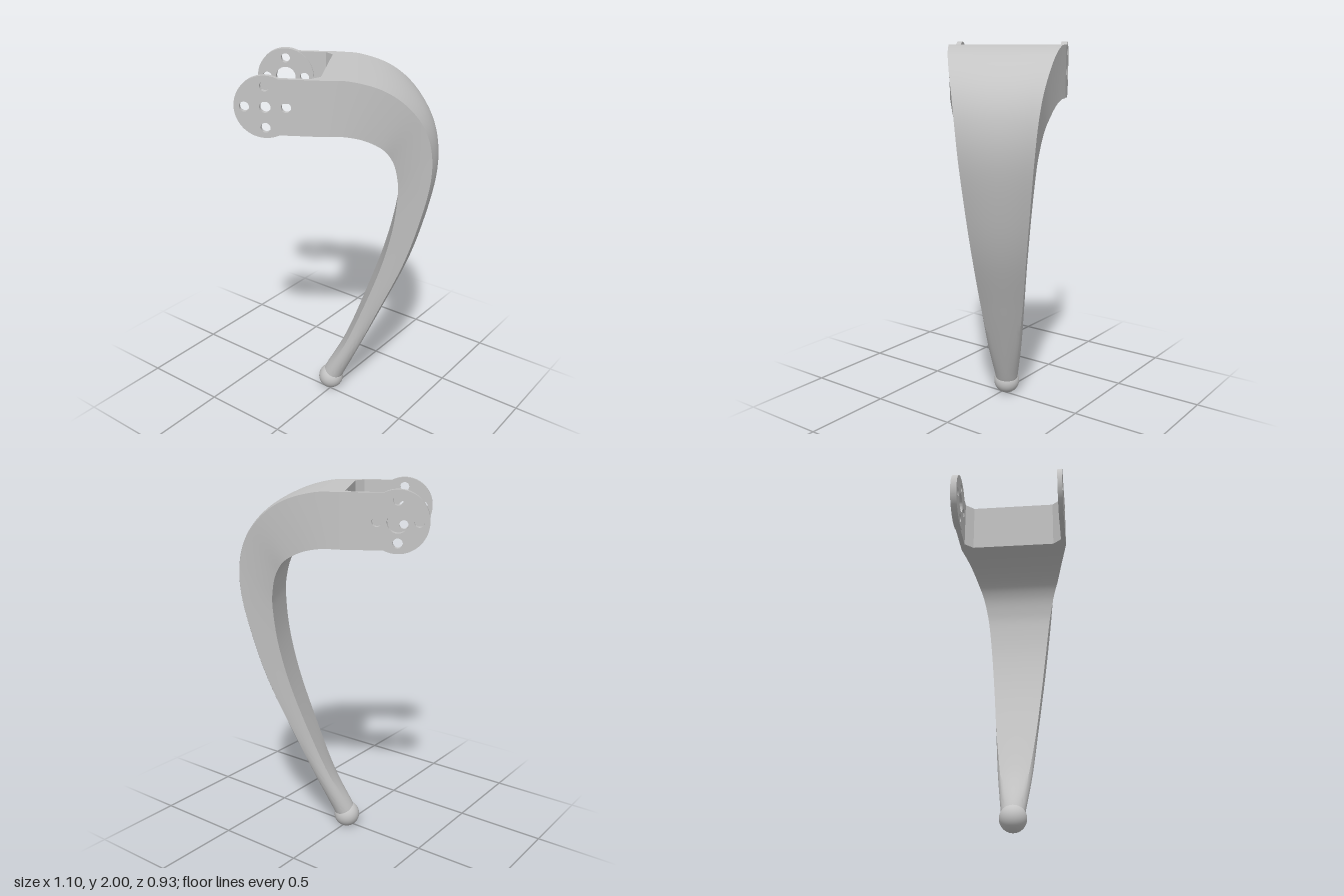
import * as THREE from 'three';
import { toCreasedNormals } from 'three/addons/utils/BufferGeometryUtils.js';

const TOP = 1.985, BOTTOM = 1.705;      // height range of the bracket
const DISC = { x: -0.285, y: 1.845, r: 0.156 };
const HALF = 0.313, THICK = 0.027;      // half width and plate thickness

// Bolt pattern: one centre hole and four around it
function addHoles(shape, centreRadius) {
  const hole = (x, y, r) => shape.holes.push(new THREE.Path().absarc(x, y, r, 0, Math.PI * 2, true));
  hole(DISC.x, DISC.y, centreRadius);
  for (let i = 0; i < 4; i++) {
    const a = i * Math.PI / 2;
    hole(DISC.x + 0.104 * Math.cos(a), DISC.y + 0.104 * Math.sin(a), 0.025);
  }
  return shape;
}

function extrude(shape, depth) {
  const geo = new THREE.ExtrudeGeometry(shape, { depth, bevelEnabled: false, curveSegments: 40 });
  return toCreasedNormals(geo, 0.5);
}

// Plate with a round end
function plateShape(centreRadius) {
  const a = Math.asin((TOP - DISC.y) / DISC.r);
  const s = new THREE.Shape();
  s.moveTo(0, BOTTOM);
  s.lineTo(0, TOP);
  s.absarc(DISC.x, DISC.y, DISC.r, a, Math.PI * 2 - a, false);
  s.closePath();
  return addHoles(s, centreRadius);
}

// Leg stations: inner edge (x, y), outer edge (x, y), half width, outer bulge, roundness
const STATIONS = [
  [0.00, 1.705, 0.00, 1.985, 0.313, 0, 0],
  [0.10, 1.703, 0.13, 1.980, 0.296, 0.001, 0],
  [0.20, 1.680, 0.28, 1.938, 0.274, 0.006, 0],
  [0.29, 1.630, 0.40, 1.858, 0.249, 0.015, 0],
  [0.34, 1.560, 0.49, 1.742, 0.222, 0.026, 0],
  [0.365, 1.47, 0.535, 1.60, 0.202, 0.033, 0],
  [0.372, 1.36, 0.535, 1.42, 0.185, 0.035, 0],
  [0.35, 1.15, 0.483, 1.17, 0.163, 0.034, 0],
  [0.29, 0.90, 0.405, 0.91, 0.141, 0.031, 0.03],
  [0.186, 0.60, 0.278, 0.60, 0.117, 0.024, 0.15],
  [0.083, 0.35, 0.178, 0.345, 0.095, 0.010, 0.55],
  [-0.028, 0.15, 0.088, 0.125, 0.068, 0, 1],
  [-0.05, 0.08, 0.055, 0.06, 0.058, 0, 1],
];

// Leg swept from a flat-sided section to a round ankle
function legGeometry() {
  const curve = (f) => new THREE.CatmullRomCurve3(
    STATIONS.map((s) => new THREE.Vector3(...f(s))), false, 'catmullrom');
  const inner = curve((s) => [s[0], s[1], 0]);
  const outer = curve((s) => [s[2], s[3], 0]);
  const form = curve((s) => [s[4], s[5], s[6]]);
  const rows = 96, side = 10, ring = side * 4;
  const pos = [], index = [];
  for (let i = 0; i <= rows; i++) {
    const t = i / rows;
    const p = inner.getPoint(t), q = outer.getPoint(t), f = form.getPoint(t);
    const k = THREE.MathUtils.clamp(f.z, 0, 1);
    const mid = p.clone().add(q).multiplyScalar(0.5);
    const half = q.clone().sub(p).multiplyScalar(0.5);
    const out = half.clone().normalize();
    for (let j = 0; j < ring; j++) {
      const n = Math.floor(j / side), u = (j % side) / side * 2 - 1;
      const ang = n * Math.PI / 2 + u * Math.PI / 4;
      const [sa, sb] = [[1, u], [-u, 1], [-1, -u], [u, -1]][n];
      const a = THREE.MathUtils.lerp(sa, Math.cos(ang), k);
      const b = THREE.MathUtils.lerp(sb, Math.sin(ang), k);
      const bulge = n === 0 ? f.y * (1 - u * u) : 0;
      const v = mid.clone().addScaledVector(half, a).addScaledVector(out, bulge);
      pos.push(v.x, v.y, b * f.x);
    }
  }
  for (let i = 0; i < rows; i++) {
    for (let j = 0; j < ring; j++) {
      const a = i * ring + j, b = i * ring + (j + 1) % ring;
      index.push(a, b, a + ring, b, b + ring, a + ring);
    }
  }
  const geo = new THREE.BufferGeometry();
  geo.setAttribute('position', new THREE.Float32BufferAttribute(pos, 3));
  geo.setIndex(index);
  return toCreasedNormals(geo, 0.7);
}

export function createModel() {
  const grey = new THREE.MeshStandardMaterial({ color: 0xc4c4c4 });
  grey.name = 'lightGrey';
  const group = new THREE.Group();
  group.name = 'robotLeg';
  const body = new THREE.Group();
  body.name = 'leg';
  body.rotation.y = Math.PI / 6;
  body.position.set(-0.014, 0, -0.024);
  group.add(body);
  const add = (name, geo, x = 0, y = 0, z = 0) => {
    const m = new THREE.Mesh(geo, grey);
    m.name = name;
    m.position.set(x, y, z);
    body.add(m);
  };

  // Curved leg and ball foot
  add('curvedLeg', legGeometry());
  add('ballFoot', new THREE.SphereGeometry(0.073, 40, 28), 0.002, 0.073, 0.001);

  // Hip block with chamfered inner corners, between the plates
  const w = HALF - THICK;
  const block = new THREE.Shape([
    [0, -w], [0, w], [-0.062, w], [-0.019, 0.239], [-0.019, -0.239], [-0.062, -w],
  ].map(([x, z]) => new THREE.Vector2(x, -z)));
  const blockGeo = new THREE.ExtrudeGeometry(block, { depth: TOP - BOTTOM, bevelEnabled: false });
  blockGeo.rotateX(-Math.PI / 2);
  add('hipBlock', blockGeo, 0, BOTTOM, 0);

  // Motor plates, the rear one with a raised pad and a wide centre hole
  add('frontPlate', extrude(plateShape(0.028), THICK), 0, 0, w);
  add('rearPlate', extrude(plateShape(0.055), THICK), 0, 0, -HALF);
  const pad = new THREE.Shape().absarc(DISC.x, DISC.y, DISC.r, 0, Math.PI * 2, false);
  add('rearPad', extrude(addHoles(pad, 0.055), 0.009), 0, 0, -w);

  return group;
}
